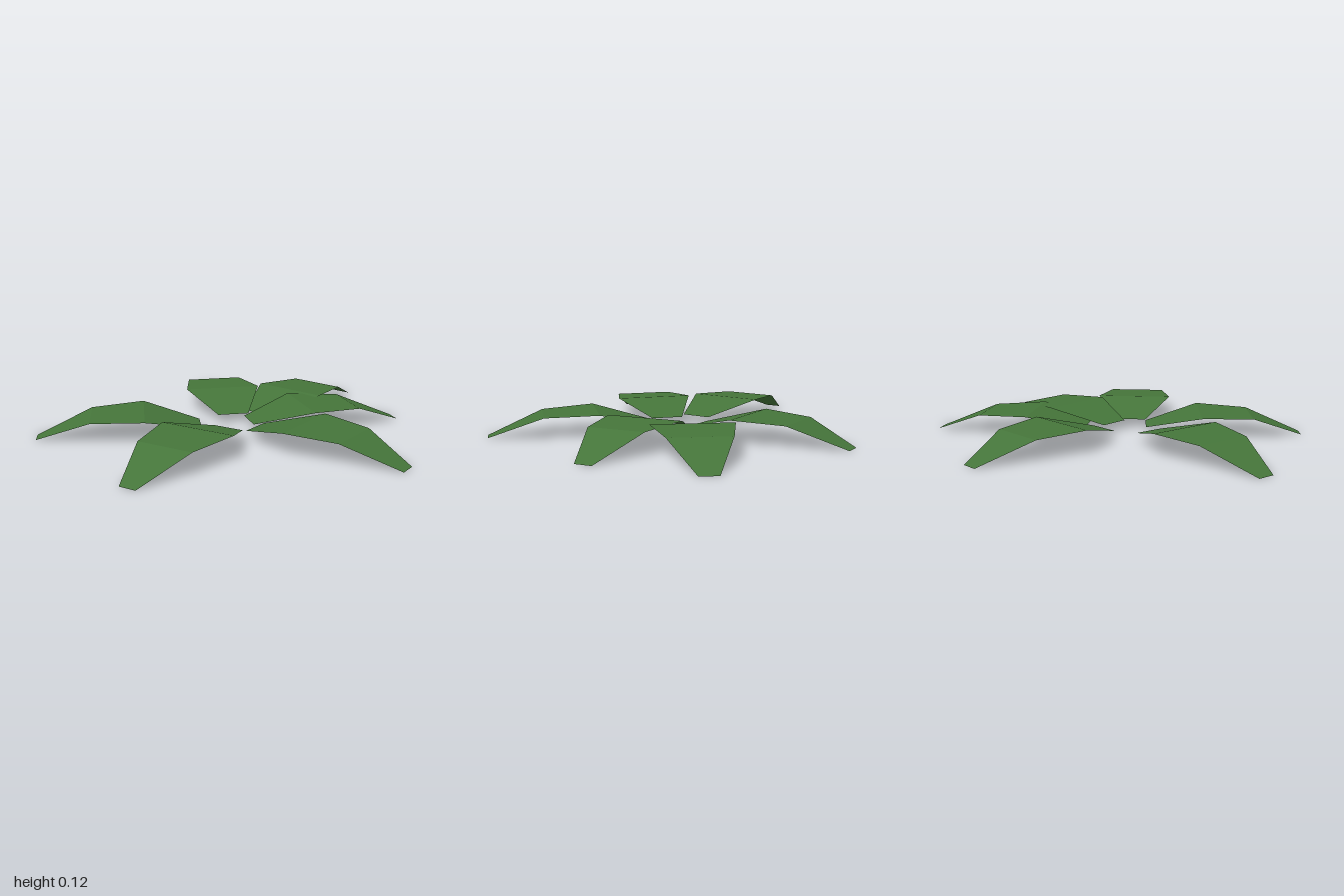
import * as THREE from 'three';

// Leaf cross-sections from base to tip: distance along, height, half width
const SECTIONS = [
  [0, 0.05, 0.085],
  [0.3, 0.125, 0.2125],
  [0.58, 0.112, 0.157],
  [0.867, 0, 0.047],
];

// Each leaf: name, base centre (x, z), tip centre (x, z)
const LEAVES = [
  ['leftLeaf', 0.13, 0.075, 1.0, 0.075],
  ['backLeftLeaf', 0.217, -0.05, 0.945, -0.52],
  ['backLeaf', 0.082, -0.058, 0.152, -0.918],
  ['rightLeaf', -0.137, 0.06, -0.99, -0.09],
  ['frontRightLeaf', -0.015, 0.178, -0.652, 0.76],
  ['frontLeftLeaf', 0.124, 0.203, 0.655, 0.888],
];

// Open folded strip running along +x, facing up
function leafGeometry() {
  const points = [];
  const index = [];
  SECTIONS.forEach(([x, y, w], i) => {
    points.push(x, y, -w, x, y, w);
    if (i > 0) {
      const a = 2 * (i - 1);
      index.push(a, a + 1, a + 3, a, a + 3, a + 2);
    }
  });
  const indexed = new THREE.BufferGeometry();
  indexed.setAttribute('position', new THREE.Float32BufferAttribute(points, 3));
  indexed.setIndex(index);
  const geometry = indexed.toNonIndexed();
  geometry.computeVertexNormals();
  return geometry;
}

export function createModel() {
  const group = new THREE.Group();
  group.name = 'leafRosette';
  const leafGreen = new THREE.MeshStandardMaterial({
    color: 0x45753a, side: THREE.DoubleSide, flatShading: true,
  });
  leafGreen.name = 'leafGreen';
  const geometry = leafGeometry();

  // Leaves arranged around the open centre
  for (const [name, bx, bz, tx, tz] of LEAVES) {
    const leaf = new THREE.Mesh(geometry, leafGreen);
    leaf.name = name;
    leaf.position.set(bx, 0, bz);
    leaf.rotation.y = Math.atan2(bz - tz, tx - bx);
    group.add(leaf);
  }
  return group;
}
